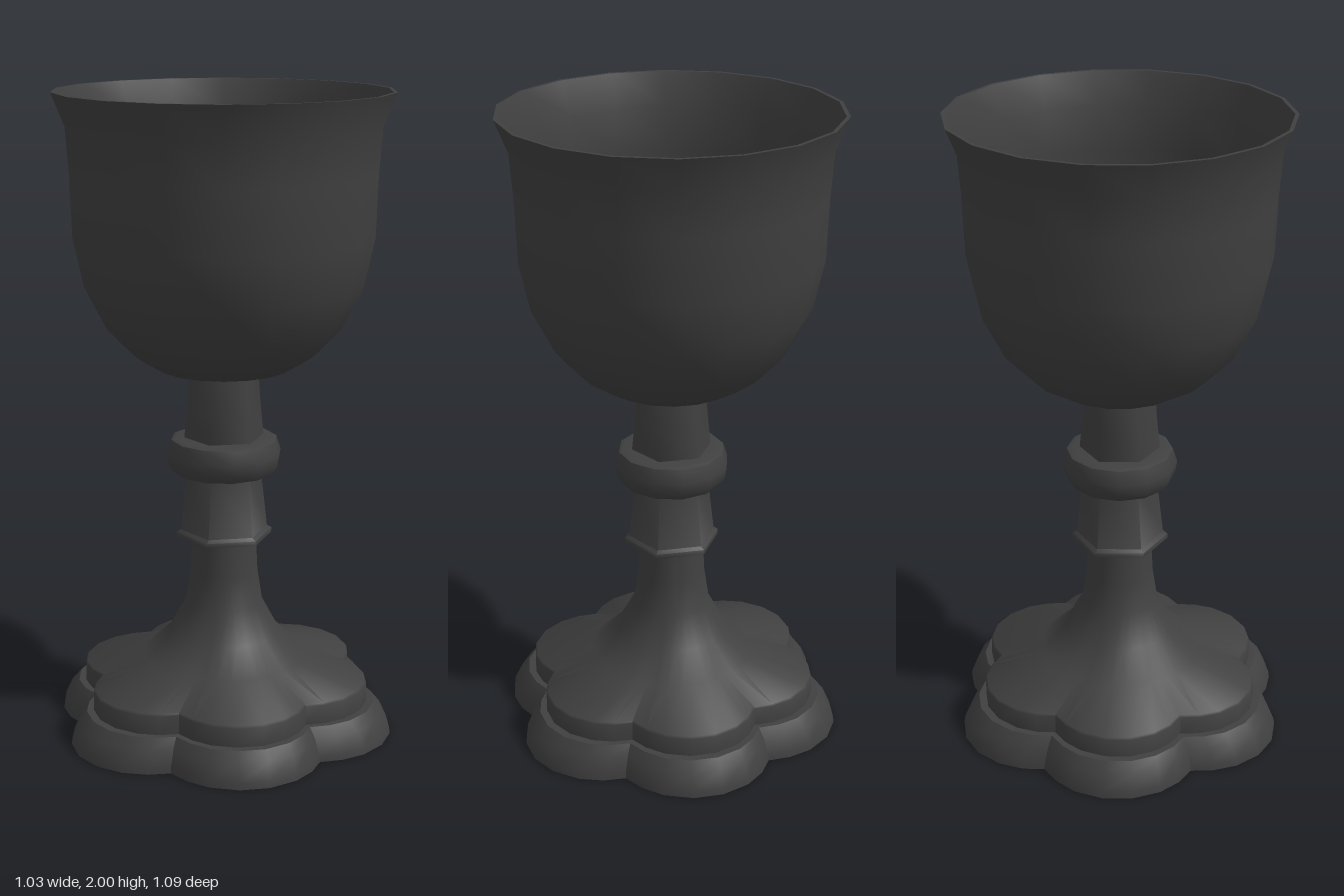
import * as THREE from 'three';
import { toCreasedNormals } from 'three/addons/utils/BufferGeometryUtils.js';

const material = new THREE.MeshStandardMaterial({ color: 0x404040 });

function addPart(group, name, geometry, crease) {
  const mesh = new THREE.Mesh(toCreasedNormals(geometry, crease), material);
  mesh.name = name;
  group.add(mesh);
}

// Turned part with a corner on the x axis; profile is [radius, y]
function turned(profile, sides) {
  const points = profile.map(([r, y]) => new THREE.Vector2(r, y));
  return new THREE.LatheGeometry(points, sides, Math.PI / 2);
}

// Six-lobed outline: arcs centred away from the axis, meeting in notches
function lobedOutline() {
  const points = [];
  for (let lobe = 0; lobe < 6; lobe++) {
    const axis = Math.PI / 6 + lobe * Math.PI / 3;
    for (const deg of [-66, -50, -32, -10.6, 10.6, 32, 50]) {
      const t = THREE.MathUtils.degToRad(deg);
      const u = 0.297 + 0.25 * Math.cos(t), v = 0.25 * Math.sin(t);
      points.push({ angle: axis + Math.atan2(v, u), radius: Math.hypot(u, v) });
    }
  }
  return points;
}

// Skin over rings of [scale of lobed outline, round radius, y]
function lobedSkin(rings) {
  const outline = lobedOutline(), n = outline.length;
  const positions = [], index = [];
  rings.forEach(([scale, round, y], i) => {
    outline.forEach(({ angle, radius }, j) => {
      const r = radius * scale + round;
      positions.push(r * Math.cos(angle), y, r * Math.sin(angle));
      if (i === rings.length - 1) return;
      const a = i * n + j, b = i * n + (j + 1) % n;
      index.push(a, a + n, b, b, a + n, b + n);
    });
  });
  const geometry = new THREE.BufferGeometry();
  geometry.setAttribute('position', new THREE.Float32BufferAttribute(positions, 3));
  geometry.setIndex(index);
  return geometry;
}

export function createModel() {
  const group = new THREE.Group();
  group.name = 'goblet';

  // Stepped, lobed foot sweeping up into the round lower stem
  addPart(group, 'foot', lobedSkin([
    [0, 0, 0], [1, 0, 0], [0.995, 0, 0.02], [0.95, 0, 0.07], [0.9, 0, 0.1],
    [0.855, 0, 0.1], [0.855, 0, 0.16], [0.845, 0, 0.167],
    [0.16, 0.175, 0.22], [0.05, 0.15, 0.3], [0.01, 0.116, 0.4],
    [0, 0.106, 0.5], [0, 0.1, 0.63],
  ]), 0.75);

  // Six-sided stem sections
  addPart(group, 'collar', turned([
    [0.09, 0.615], [0.152, 0.615], [0.152, 0.63], [0.138, 0.638], [0.115, 0.84],
  ], 6), 1.1);
  addPart(group, 'upperStem', turned([[0.126, 0.93], [0.115, 1.04], [0.107, 1.16]], 6), 1.1);

  // Rounded knob
  addPart(group, 'knob', turned([
    [0.09, 0.826], [0.158, 0.828], [0.174, 0.852], [0.18, 0.888],
    [0.166, 0.932], [0.15, 0.938], [0.09, 0.938],
  ], 12), 0.8);

  // Bowl with flared rim, outer wall up and inner wall down
  addPart(group, 'bowl', turned([
    [0, 1.136], [0.11, 1.139], [0.205, 1.16], [0.28, 1.205], [0.36, 1.288],
    [0.427, 1.42], [0.459, 1.57], [0.465, 1.76], [0.475, 1.9], [0.515, 2],
    [0.503, 2], [0.462, 1.9], [0.452, 1.76], [0.446, 1.57], [0.414, 1.425],
    [0.348, 1.3], [0.27, 1.22], [0.2, 1.178], [0.11, 1.158], [0, 1.155],
  ], 18), 0.8);

  return group;
}
